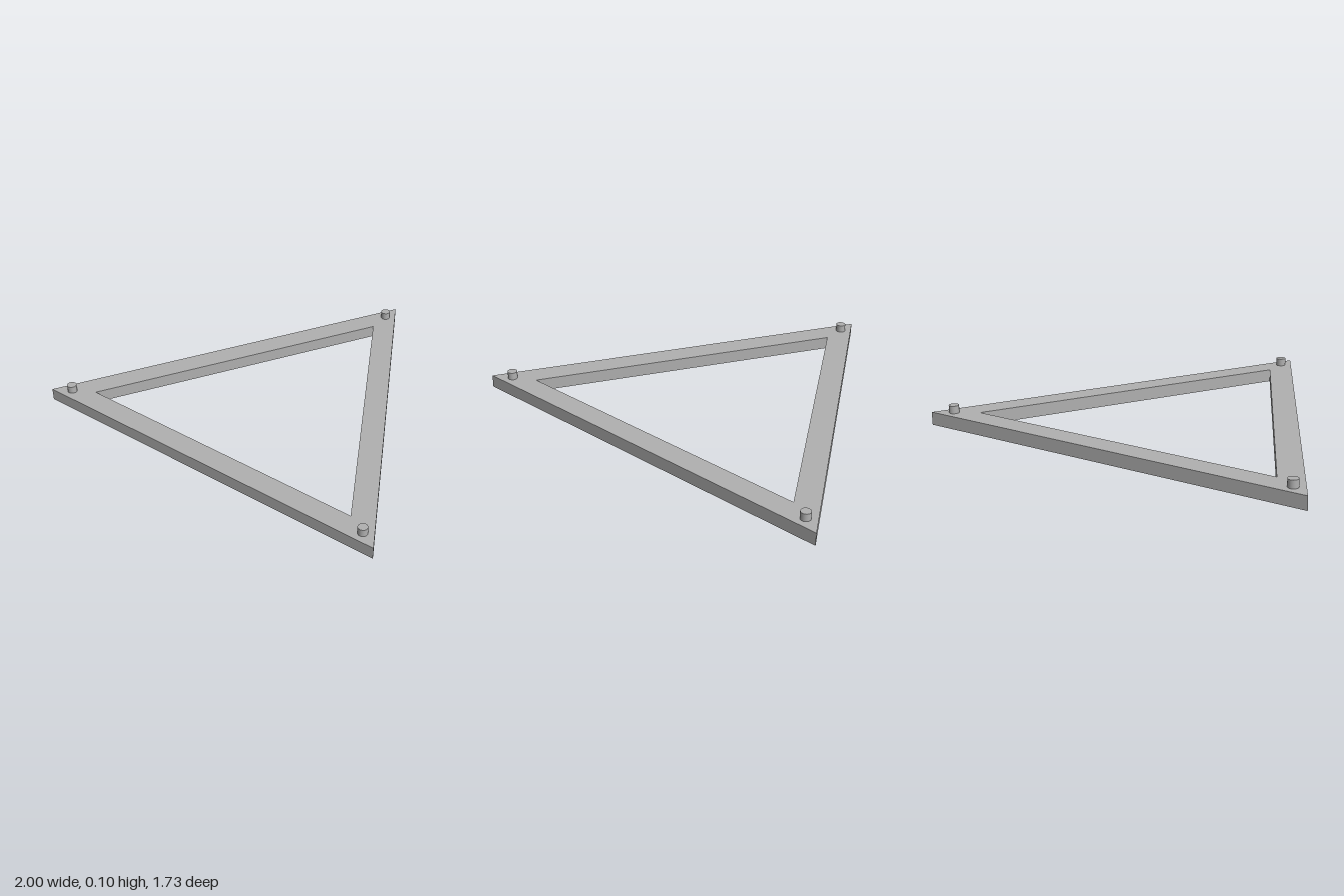
import * as THREE from 'three';

const HEIGHT = 0.063;      // frame thickness
const STUD_TOP = 0.1;
const SOCKET_DEPTH = 0.036;
const STUD_RADIUS = 0.024;
const OUTER = 2 / Math.sqrt(3); // centre to corner of the outer triangle
const INNER = 1.6 / Math.sqrt(3);
const CENTRE_Z = OUTER - Math.sqrt(3) / 2; // puts the bounds centre on z = 0
const STUD_REACH = OUTER - 0.108;

// The three corner directions in plan, one pointing to the front
function corners(radius) {
  return [0, 1, 2].map((i) => {
    const a = (i * 2 * Math.PI) / 3;
    return new THREE.Vector2(Math.sin(a) * radius, Math.cos(a) * radius - CENTRE_Z);
  });
}

// Plan points carry z in y; the extrusion is laid flat, which negates it
const flip = (points) => points.map((p) => new THREE.Vector2(p.x, -p.y));

export function createModel() {
  const group = new THREE.Group();
  const grey = new THREE.MeshStandardMaterial({ color: 0xb0b0b0 });
  grey.name = 'grey plastic';

  const studs = corners(STUD_REACH);

  // Triangular frame with a round bore at each corner
  const shape = new THREE.Shape(flip(corners(OUTER)));
  shape.holes.push(new THREE.Path(flip(corners(INNER))));
  for (const p of studs) {
    const bore = new THREE.Path();
    bore.absarc(p.x, -p.y, STUD_RADIUS, 0, Math.PI * 2, true);
    shape.holes.push(bore);
  }
  const frameGeometry = new THREE.ExtrudeGeometry(shape, {
    depth: HEIGHT, bevelEnabled: false, curveSegments: 12,
  });
  frameGeometry.rotateX(-Math.PI / 2);
  const frame = new THREE.Mesh(frameGeometry, grey);
  frame.name = 'triangleFrame';
  group.add(frame);

  // Studs plug the bores from above, leaving a socket underneath
  const studHeight = STUD_TOP - SOCKET_DEPTH;
  const studGeometry = new THREE.CylinderGeometry(STUD_RADIUS, STUD_RADIUS, studHeight, 24);
  ['frontStud', 'leftStud', 'rightStud'].forEach((name, i) => {
    const stud = new THREE.Mesh(studGeometry, grey);
    stud.name = name;
    stud.position.set(studs[i].x, SOCKET_DEPTH + studHeight / 2, studs[i].y);
    group.add(stud);
  });

  return group;
}
